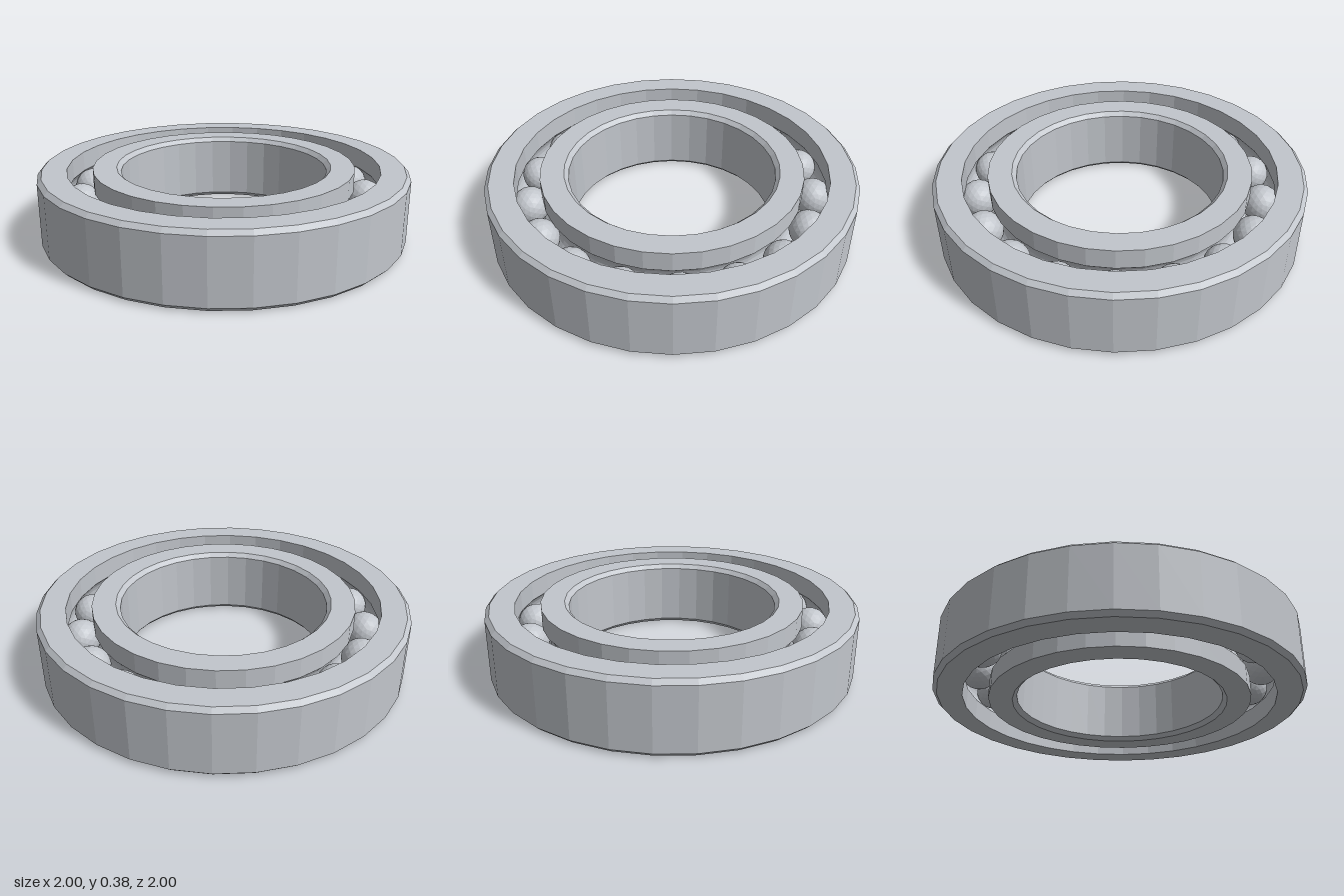
import * as THREE from 'three';

const HEIGHT = 0.38, MID = HEIGHT / 2, CHAMFER = 0.023;
const PITCH = 0.777, BALL_R = 0.102, GROOVE_R = 0.106, BALLS = 17, SIDES = 32;

// Arc of the ball groove where it cuts a wall at the given radius, listed upwards
function groove(wallRadius) {
  const dx = wallRadius - PITCH, side = Math.sign(dx);
  const half = Math.acos(Math.abs(dx) / GROOVE_R);
  const points = [];
  for (let i = 0; i <= 8; i++) {
    const a = -half + (2 * half * i) / 8;
    points.push([PITCH + side * GROOVE_R * Math.cos(a), MID + GROOVE_R * Math.sin(a)]);
  }
  return points;
}

// Closed counter-clockwise profile turned around the y axis
function ring(name, profile, material) {
  const points = [...profile, profile[0]].map(([x, y]) => new THREE.Vector2(x, y));
  const mesh = new THREE.Mesh(new THREE.LatheGeometry(points, SIDES), material);
  mesh.name = name;
  return mesh;
}

export function createModel() {
  const model = new THREE.Group();
  model.name = 'ballBearing';
  const steel = new THREE.MeshStandardMaterial({ color: 0xc2c6cc, flatShading: true });
  steel.name = 'steel';

  // Outer race: chamfered outside, grooved inside
  const outerWall = 0.845;
  model.add(ring('outerRace', [
    [outerWall, 0], [1 - CHAMFER, 0], [1, CHAMFER],
    [1, HEIGHT - CHAMFER], [1 - CHAMFER, HEIGHT], [outerWall, HEIGHT],
    ...groove(outerWall).reverse(),
  ], steel));

  // Inner race: chamfered bore, grooved outside
  const bore = 0.56, innerWall = 0.71;
  model.add(ring('innerRace', [
    [bore + CHAMFER, 0], [innerWall, 0],
    ...groove(innerWall),
    [innerWall, HEIGHT], [bore + CHAMFER, HEIGHT],
    [bore, HEIGHT - CHAMFER], [bore, CHAMFER],
  ], steel));

  // Balls between the races
  const balls = new THREE.Group();
  balls.name = 'balls';
  const ballGeometry = new THREE.IcosahedronGeometry(BALL_R, 3);
  for (let i = 0; i < BALLS; i++) {
    const a = (i / BALLS) * Math.PI * 2;
    const ball = new THREE.Mesh(ballGeometry, steel);
    ball.name = 'ball';
    ball.position.set(PITCH * Math.cos(a), MID, PITCH * Math.sin(a));
    ball.rotation.y = -a;
    balls.add(ball);
  }
  model.add(balls);
  return model;
}
